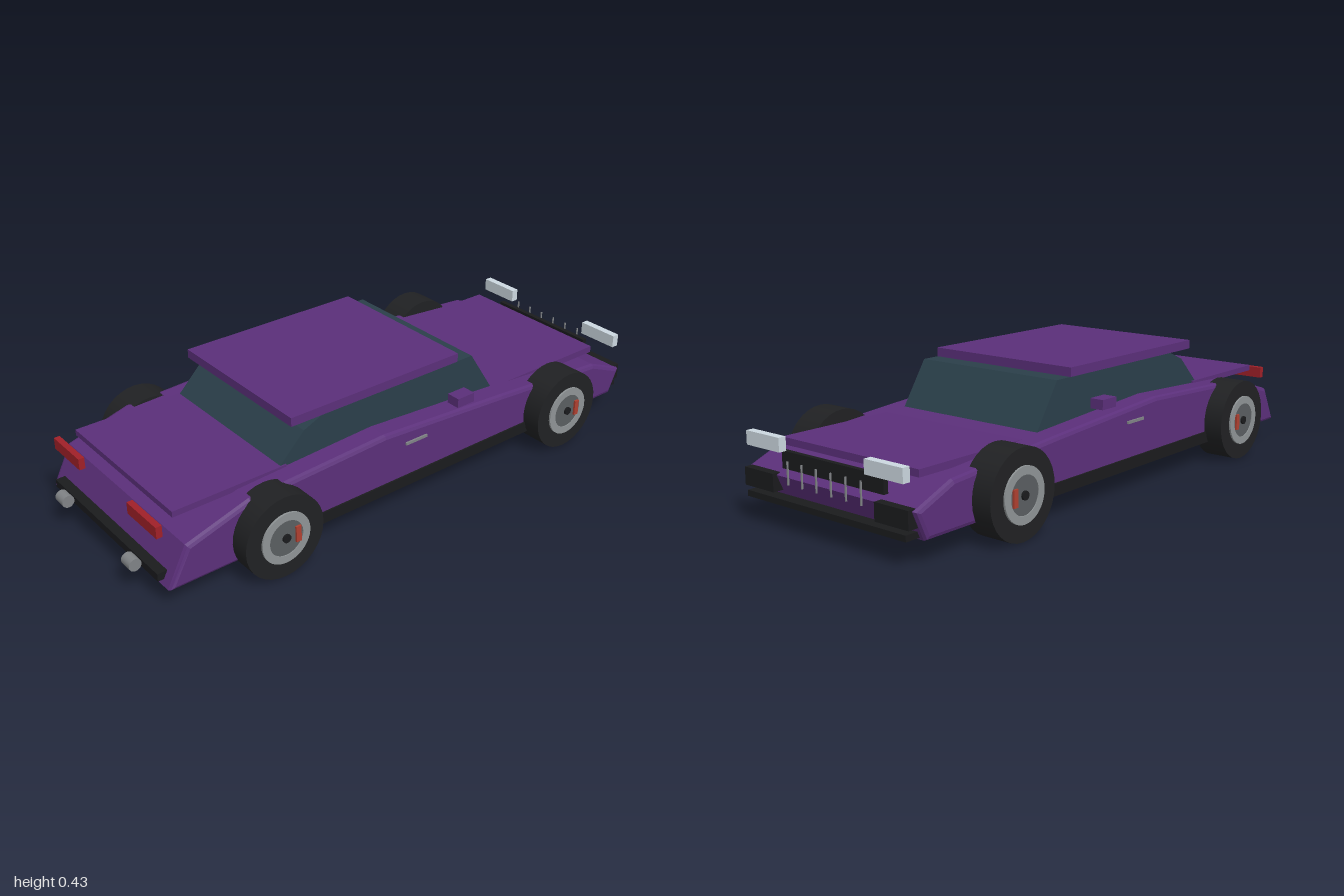
import * as THREE from 'three';

const mat = (color) => new THREE.MeshStandardMaterial({ color });

export function createModel() {
  const car = new THREE.Group();
  car.name = 'car';
  const paint = mat(0x5b2f7a), glass = mat(0x2a3f4a), black = mat(0x1a1b1d);
  const tyreMat = mat(0x202123), rimMat = mat(0x8f9496), discMat = mat(0x5a5e61);
  const red = mat(0xa02028), lamp = mat(0xccd8e0), metal = mat(0x808386), caliperMat = mat(0xb04030);

  function add(name, geometry, material, x = 0, y = 0, z = 0, parent = car) {
    const mesh = new THREE.Mesh(geometry, material);
    mesh.name = name;
    mesh.position.set(x, y, z);
    parent.add(mesh);
    return mesh;
  }

  // Box given by its min/max on each axis
  function box(name, material, [x0, x1], [y0, y1], [z0, z1]) {
    return add(name, new THREE.BoxGeometry(x1 - x0, y1 - y0, z1 - z0), material,
      (x0 + x1) / 2, (y0 + y1) / 2, (z0 + z1) / 2);
  }

  // The same box on both sides of the car
  function boxPair(name, material, xs, ys, [z0, z1]) {
    box(name + 'Left', material, xs, ys, [-z1, -z0]);
    box(name + 'Right', material, xs, ys, [z0, z1]);
  }

  // Side profile extruded across the width, with a small bevel kept inside the outline
  function profile(name, material, points, halfWidth, bevel) {
    const shape = new THREE.Shape(points.map(([x, y]) => new THREE.Vector2(x, y)));
    const geometry = new THREE.ExtrudeGeometry(shape, {
      depth: 2 * (halfWidth - bevel), bevelEnabled: bevel > 0, bevelThickness: bevel,
      bevelSize: bevel, bevelOffset: -bevel, bevelSegments: 2,
    });
    geometry.translate(0, 0, -(halfWidth - bevel));
    return add(name, geometry, material);
  }

  // Body and cabin
  profile('body', paint, [
    [-0.945, 0.07], [0.925, 0.07], [0.965, 0.16], [0.82, 0.22], [0.36, 0.255],
    [-0.15, 0.288], [-0.66, 0.265], [-0.88, 0.2],
  ], 0.362, 0.014);
  profile('cabinGlass', glass, [
    [-0.52, 0.24], [0.385, 0.24], [0.28, 0.4], [-0.34, 0.4], [-0.41, 0.37], [-0.5, 0.28],
  ], 0.285, 0);
  box('roof', paint, [-0.457, 0.215], [0.4, 0.43], [-0.287, 0.287]);
  box('hood', paint, [0.37, 0.88], [0.225, 0.248], [-0.29, 0.29]);
  box('trunkLid', paint, [-0.88, -0.48], [0.26, 0.28], [-0.29, 0.29]);

  // Side trim
  boxPair('sill', black, [-0.55, 0.55], [0.073, 0.112], [0.34, 0.368]);
  boxPair('mirror', paint, [0.122, 0.192], [0.306, 0.338], [0.346, 0.394]);
  boxPair('doorHandle', metal, [-0.07, 0.018], [0.226, 0.235], [0.355, 0.368]);

  // Nose
  box('grille', black, [0.925, 0.942], [0.176, 0.23], [-0.215, 0.215]);
  for (let i = 0; i < 6; i++) {
    const z = 0.125 - i * 0.0615;
    box('grilleBar', metal, [0.992, 0.997], [0.152, 0.222], [z - 0.002, z + 0.002]);
  }
  boxPair('headlight', lamp, [0.953, 0.979], [0.236, 0.28], [0.18, 0.33]);
  boxPair('bumperVent', black, [0.92, 0.979], [0.11, 0.166], [0.215, 0.346]);
  box('frontBumperStrip', black, [0.915, 0.98], [0.077, 0.096], [-0.336, 0.336]);

  // Tail
  boxPair('tailLight', red, [-0.946, -0.926], [0.226, 0.265], [0.147, 0.31]);
  box('rearBumperStrip', black, [-0.957, -0.92], [0.086, 0.112], [-0.315, 0.315]);
  for (const z of [-0.207, 0.207]) {
    add('exhaust', new THREE.CylinderGeometry(0.021, 0.021, 0.046, 16).rotateX(Math.PI / 2),
      metal, -0.98, 0.105, z);
  }

  // Wheels, built facing +z and turned over for the far side
  const disc = (r, depth, sides = 32) =>
    new THREE.CylinderGeometry(r, r, depth, sides).rotateX(Math.PI / 2);
  const tyreGeometry = disc(0.14, 0.105);
  const ringShape = new THREE.Shape().absarc(0, 0, 0.086, 0, Math.PI * 2, false);
  ringShape.holes.push(new THREE.Path().absarc(0, 0, 0.06, 0, Math.PI * 2, true));
  const ringGeometry = new THREE.ExtrudeGeometry(ringShape, { depth: 0.012, bevelEnabled: false, curveSegments: 24 });
  for (const x of [-0.59, 0.61]) {
    for (const side of [1, -1]) {
      const wheel = new THREE.Group();
      wheel.name = (x > 0 ? 'front' : 'rear') + (side > 0 ? 'Right' : 'Left') + 'Wheel';
      wheel.position.set(x, 0.14, side * 0.3775);
      if (side < 0) wheel.rotation.y = Math.PI;
      add('tyre', tyreGeometry, tyreMat, 0, 0, 0, wheel);
      add('rim', ringGeometry, rimMat, 0, 0, 0.047, wheel);
      add('brakeDisc', disc(0.061, 0.01), discMat, 0, 0, 0.051, wheel);
      add('hub', disc(0.014, 0.014, 16), black, 0, 0, 0.056, wheel);
      add('caliper', new THREE.BoxGeometry(0.018, 0.054, 0.018), caliperMat, side * 0.042, 0, 0.054, wheel);
      car.add(wheel);
    }
  }
  return car;
}
